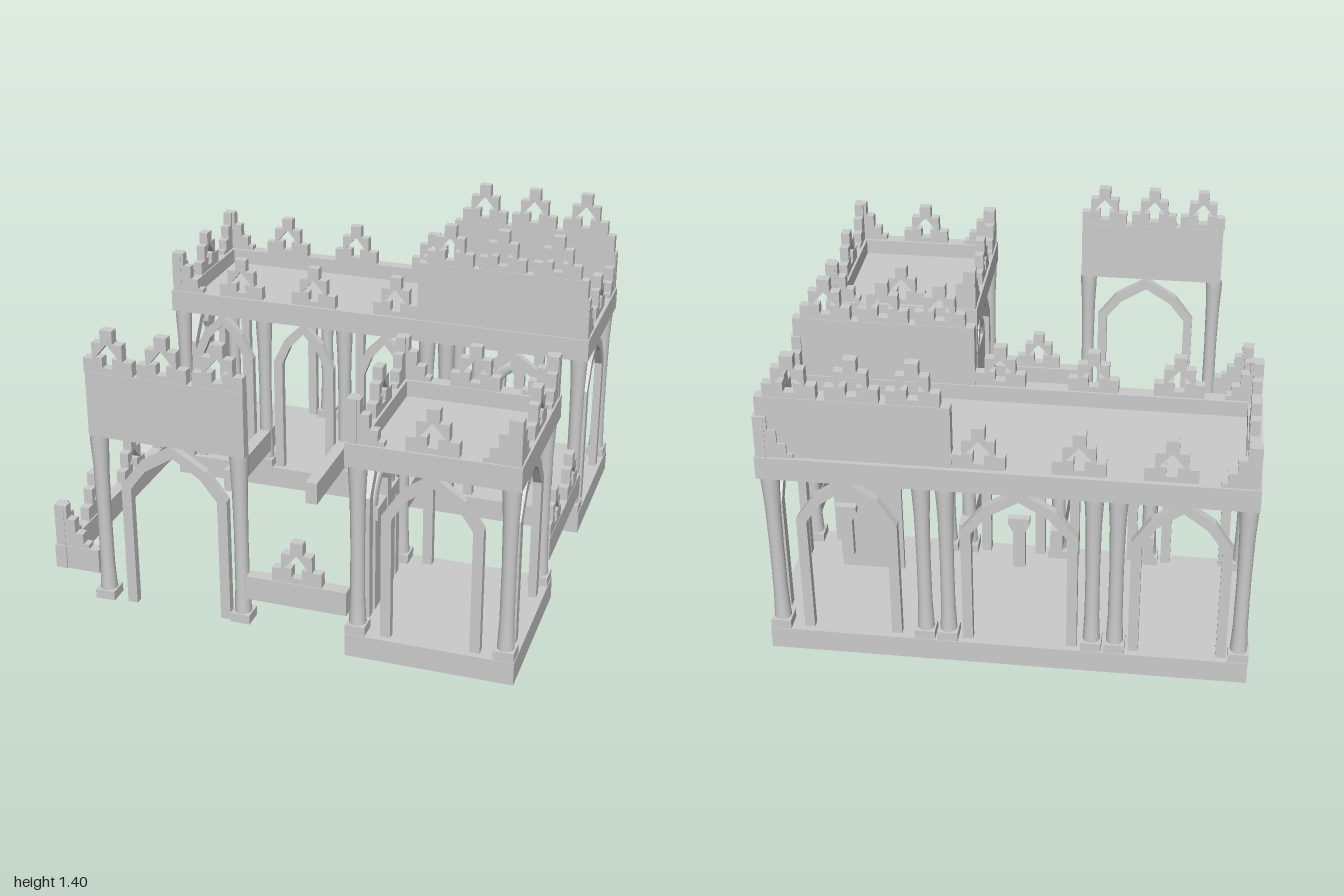
import * as THREE from 'three';

const mat = new THREE.MeshStandardMaterial({ color: 0xcccccc, side: THREE.DoubleSide });

function add(parent, geo, name, x = 0, y = 0, z = 0, ry = 0) {
  const m = new THREE.Mesh(geo, mat);
  m.name = name;
  m.position.set(x, y, z);
  m.rotation.y = ry;
  parent.add(m);
  return m;
}

// Box given by its min and max corners
function span(parent, name, x0, x1, y0, y1, z0, z1) {
  const geo = new THREE.BoxGeometry(x1 - x0, y1 - y0, z1 - z0);
  return add(parent, geo, name, (x0 + x1) / 2, (y0 + y1) / 2, (z0 + z1) / 2);
}

const shapeOf = pts => new THREE.Shape(pts.map(p => new THREE.Vector2(...p)));
const mirrored = pts => [...pts, ...pts.slice().reverse().map(([x, y]) => [-x, y])];

function slab(shape, depth) {
  const geo = new THREE.ExtrudeGeometry(shape, { depth, bevelEnabled: false });
  return geo.translate(0, 0, -depth / 2);
}

// Stepped merlon pierced by an arrow-shaped opening
const merlonShape = shapeOf(mirrored([
  [0.105, 0], [0.105, 0.06], [0.065, 0.06], [0.065, 0.13], [0.026, 0.13], [0.026, 0.185]]));
merlonShape.holes.push(new THREE.Path(mirrored([
  [0.022, 0.025], [0.022, 0.068], [0.05, 0.068], [0.003, 0.125]]).map(p => new THREE.Vector2(...p))));
const merlonGeo = slab(merlonShape, 0.04);

// Half merlon that steps down from a corner
const cornerGeo = slab(shapeOf([
  [0, 0], [0.15, 0], [0.15, 0.02], [0.125, 0.02], [0.125, 0.065], [0.09, 0.065],
  [0.09, 0.125], [0.055, 0.125], [0.055, 0.185], [0, 0.185]]), 0.04);

const merlon = (p, x, y, z, ry = 0) => add(p, merlonGeo, 'merlon', x, y, z, ry);

// Corner merlon: two half merlons meeting at (x, z) and running inward
function cornerMerlon(p, x, y, z, sx, sz) {
  add(p, cornerGeo, 'cornerMerlon', x, y, z - sz * 0.022, sx > 0 ? Math.PI : 0);
  add(p, cornerGeo, 'cornerMerlon', x - sx * 0.022, y, z, sz > 0 ? Math.PI / 2 : -Math.PI / 2);
}

// Waisted round column on a square foot
const columnGeo = new THREE.LatheGeometry([
  [0.036, 0.03], [0.034, 0.07], [0.03, 0.16], [0.029, 0.4], [0.032, 0.6], [0.038, 0.72], [0.038, 0.75]
].map(p => new THREE.Vector2(...p)), 16);
const footGeo = new THREE.BoxGeometry(0.084, 0.04, 0.084);

function column(p, x, y, z) {
  const g = new THREE.Group();
  g.name = 'column';
  g.position.set(x, y, z);
  add(g, columnGeo, 'shaft');
  add(g, footGeo, 'foot', 0, 0.02, 0);
  p.add(g);
}

// Pointed arch on two thin legs
function archGeo(hw) {
  const i = hw - 0.042;
  return slab(shapeOf([
    [-hw, 0], [-hw, 0.545], [-hw * 0.63, 0.66], [0, 0.75], [hw * 0.63, 0.66], [hw, 0.545], [hw, 0],
    [i, 0], [i, 0.535], [i * 0.63, 0.625], [0, 0.7], [-i * 0.63, 0.625], [-i, 0.535], [-i, 0]]), 0.035);
}
const arch = (p, hw, x, z, ry = 0) => add(p, archGeo(hw), 'arch', x, 0.1, z, ry);

// Tapered keystone, also hung in some of the arches
const pendantGeo = slab(shapeOf(mirrored([
  [0.024, 0], [0.024, 0.17], [0.042, 0.205], [0.042, 0.235]])), 0.03);

// Door leaf with a lintel, a shallow half-round hood and a keystone
const hoodGeo = new THREE.TorusGeometry(0.117, 0.028, 10, 20, Math.PI).scale(1, 1, 0.45);

function door(p, x, z, ry) {
  const g = new THREE.Group();
  g.name = 'door';
  g.position.set(x, 0.1, z);
  g.rotation.y = ry;
  span(g, 'doorLeaf', -0.135, 0.135, 0, 0.43, -0.01, 0.01);
  span(g, 'lintel', -0.145, 0.145, 0.42, 0.475, -0.01, 0.024);
  add(g, hoodGeo, 'hood', 0, 0.475, 0);
  add(g, pendantGeo, 'keystone', 0, 0.385, 0.012);
  p.add(g);
}

// Floor, roof deck, parapet and corner merlons of one pavilion
function pavilion(name, x0, x1, z0, z1) {
  const g = new THREE.Group();
  g.name = name;
  const t = 0.06;
  span(g, 'floor', x0, x1, 0, 0.1, z0, z1);
  span(g, 'roofDeck', x0 + t, x1 - t, 0.85, 0.88, z0 + t, z1 - t);
  for (const [a, b] of [[x0, x0 + t], [x1 - t, x1]]) span(g, 'parapet', a, b, 0.85, 0.95, z0, z1);
  for (const [a, b] of [[z0, z0 + t], [z1 - t, z1]]) span(g, 'parapet', x0 + t, x1 - t, 0.85, 0.95, a, b);
  for (const sx of [-1, 1]) for (const sz of [-1, 1]) {
    cornerMerlon(g, sx < 0 ? x0 + 0.006 : x1 - 0.006, 0.95, sz < 0 ? z0 + 0.006 : z1 - 0.006, sx, sz);
  }
  return g;
}

export function createModel() {
  const model = new THREE.Group();
  model.name = 'courtyard';
  const quarter = Math.PI / 2;

  // Long hall: three bays along the back, four along the court
  const hall = pavilion('hall', -0.99, 0.985, -1, -0.305);
  const rows = [
    { z: -0.955, columns: [-0.95, -0.445, -0.35, 0.24, 0.335, 0.94],
      arches: [[-0.7, 0.2], [-0.055, 0.235], [0.64, 0.205]] },
    { z: -0.345, columns: [-0.95, -0.545, -0.15, 0.245, 0.335, 0.94],
      arches: [[-0.747, 0.147], [-0.347, 0.147], [0.048, 0.14], [0.64, 0.205]] }];
  for (const { z, columns, arches } of rows) {
    for (const x of columns) column(hall, x, 0.1, z);
    for (const [x, hw] of arches) arch(hall, hw, x, z);
  }
  for (const x of [-0.055, 0.64]) add(hall, pendantGeo, 'pendant', x, 0.485, -0.955);
  add(hall, pendantGeo, 'pendant', -0.95, 0.485, -0.64, quarter);
  for (const z of [-0.96, -0.336]) {
    for (const x of [-0.645, -0.29, 0.1]) merlon(hall, x, 0.95, z);
    // Raised screen wall over the right-hand bay
    span(hall, 'screenWall', 0.205, 0.968, 0.86, 1.22, z - 0.023, z + 0.023);
    for (const x of [0.348, 0.585, 0.828]) merlon(hall, x, 1.22, z);
  }
  for (const x of [-0.955, 0.95]) {
    arch(hall, 0.205, x, -0.645, quarter);
    merlon(hall, x, 0.95, -0.645, quarter);
  }
  door(hall, 0.64, -0.53, 0);
  model.add(hall);

  // Square porch at the front corner
  const porch = pavilion('porch', 0.295, 0.99, 0.29, 0.99);
  for (const a of [0.335, 0.945]) {
    for (const b of [0.335, 0.945]) column(porch, a, 0.1, b);
    arch(porch, 0.205, 0.64, a);
    arch(porch, 0.205, a, 0.64, quarter);
    const m = a < 0.5 ? 0.325 : 0.96;
    merlon(porch, 0.64, 0.95, m);
    merlon(porch, m, 0.95, 0.64, quarter);
  }
  door(porch, 0.345, 0.64, quarter);
  model.add(porch);

  // Tall gateway in the front wall
  const gate = new THREE.Group();
  gate.name = 'gateway';
  span(gate, 'gateWall', -0.79, -0.12, 0.815, 1.095, 0.937, 0.983);
  for (const x of [-0.69, -0.46, -0.225]) merlon(gate, x, 1.095, 0.96);
  for (const x of [-0.76, -0.155]) column(gate, x, 0.065, 0.952);
  add(gate, archGeo(0.23), 'gateArch', -0.435, 0.06, 0.955);
  model.add(gate);

  // Low courtyard walls
  const walls = new THREE.Group();
  walls.name = 'lowWalls';
  span(walls, 'leftWall', -0.98, -0.93, 0.18, 0.285, -0.35, 0.99);
  span(walls, 'rightWall', 0.93, 0.975, 0.18, 0.285, -0.35, 0.3);
  span(walls, 'frontWall', -0.93, -0.785, 0.18, 0.285, 0.94, 0.985);
  span(walls, 'frontWall', -0.125, 0.3, 0.18, 0.285, 0.93, 0.985);
  for (const z of [-0.085, 0.295, 0.655]) merlon(walls, -0.955, 0.285, z, quarter);
  for (const z of [-0.17, 0.18]) merlon(walls, 0.953, 0.285, z, quarter);
  merlon(walls, 0.09, 0.285, 0.96);
  cornerMerlon(walls, -0.976, 0.285, 0.984, -1, 1);
  model.add(walls);

  // Beams reaching from the hall into the court
  for (const x of [-0.545, -0.15, 0.25]) span(model, 'beam', x - 0.027, x + 0.027, 0.18, 0.285, -0.44, 0.13);

  return model;
}
